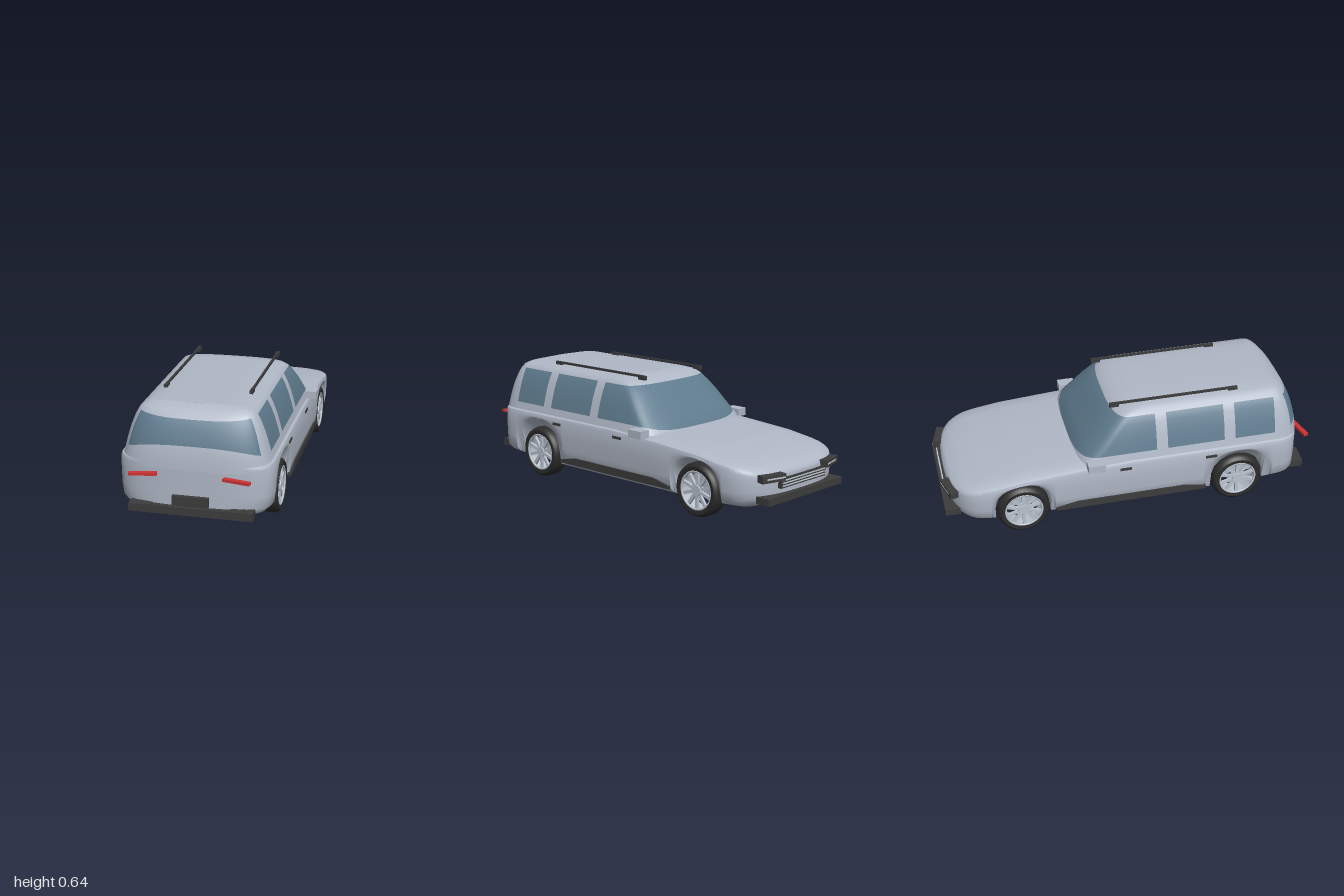
import * as THREE from 'three';
import { toCreasedNormals } from 'three/addons/utils/BufferGeometryUtils.js';

const mat = (name, color, side = THREE.FrontSide) => {
  const m = new THREE.MeshStandardMaterial({ color, side });
  m.name = name;
  return m;
};

// Linear lookup in a table of [key, value, value...] rows
function lookup(table, k) {
  let i = 1;
  while (i < table.length - 1 && table[i][0] < k) i++;
  const a = table[i - 1], b = table[i];
  const f = THREE.MathUtils.clamp((k - a[0]) / (b[0] - a[0]), 0, 1);
  return a.map((v, n) => v + (b[n] - v) * f);
}

// Skin a grid of closed rings; isSecond(row, col) picks the second material
function skin(rings, isSecond = () => false) {
  const n = rings[0].length, lists = [[], []];
  for (let r = 0; r < rings.length - 1; r++) {
    for (let c = 0; c < n; c++) {
      const a = r * n + c, b = r * n + (c + 1) % n;
      lists[isSecond(r, c) ? 1 : 0].push(a, a + n, b, b, a + n, b + n);
    }
  }
  const g = new THREE.BufferGeometry();
  g.setAttribute('position', new THREE.Float32BufferAttribute(rings.flat(2), 3));
  g.setIndex([...lists[0], ...lists[1]]);
  g.addGroup(0, lists[0].length, 0);
  g.addGroup(lists[0].length, lists[1].length, 1);
  return toCreasedNormals(g, 0.7);
}

const FRONT = -0.965, REAR = 0.95, AXLE_Y = 0.14;
const ARCHES = [{ z: -0.59, r: 0.168 }, { z: 0.58, r: 0.192 }];
const N = 3, superCos = t => Math.pow(Math.max(0, Math.cos(t)), 2 / N), superSin = t => Math.pow(Math.max(0, Math.sin(t)), 2 / N);

// Lower body: cross-sections along z, with scooped wheel arches
function lowerBodyGeometry() {
  const topLine = [[-0.965, 0.25], [-0.95, 0.272], [-0.9, 0.295], [-0.8, 0.318], [-0.6, 0.347], [-0.3, 0.368], [0, 0.38], [0.95, 0.38]];
  const floorLine = [[-0.965, 0.12], [-0.85, 0.09], [-0.45, 0.08], [0.45, 0.08], [0.95, 0.105]];
  const zs = [-0.3, -0.15, 0, 0.2, 0.35];
  for (let i = 0; i <= 12; i++) {
    const s = superSin(i / 12 * Math.PI / 2);
    zs.push(-0.7 + (FRONT + 0.7) * s, 0.78 + (REAR - 0.78) * s);
  }
  for (const a of ARCHES) {
    for (const rad of [a.r, 0.146]) zs.push(a.z - rad - 0.002, a.z + rad + 0.002);
    for (let i = 0; i <= 18; i++) zs.push(a.z - a.r * Math.cos(i / 18 * Math.PI));
    for (const s of [-1, 1]) zs.push(a.z + s * 0.1455);
  }
  zs.sort((a, b) => a - b);
  const rings = zs.map(z => {
    const f = z < -0.7 ? (z + 0.7) / (FRONT + 0.7) : z > 0.78 ? (z - 0.78) / (REAR - 0.78) : 0;
    const w = 0.386 * Math.pow(Math.max(0, 1 - f ** N), 1 / N);
    const T = lookup(topLine, z)[1], F = lookup(floorLine, z)[1];
    let lip = F + 0.04, scoop = [0.9, F + 0.012], well = [0.8, F];
    for (const a of ARCHES) {
      const d = Math.abs(z - a.z);
      if (d <= a.r + 1e-6) lip = AXLE_Y + Math.sqrt(Math.max(0, a.r * a.r - d * d));
      if (d < 0.146) {
        const y = AXLE_Y + Math.sqrt(0.146 ** 2 - d * d);
        scoop = [0.88, y];
        well = [0.66, y];
      }
    }
    const edge = T - 0.04, side = k => edge + (Math.min(lip, edge) - edge) * k;
    const half = [[0.4, T - 0.002], [0.75, T - 0.006], [0.93, T - 0.013], [0.985, T - 0.024], [1, edge],
      [1, side(0.35)], [0.995, side(0.7)], [0.975, side(1)], scoop, well, [Math.min(well[0], 0.75), F]];
    const pt = s => p => [s * p[0] * w, p[1], z];
    return [[0, T, z], ...half.map(pt(1)), [0, F, z], ...half.slice().reverse().map(pt(-1))];
  });
  return skin(rings);
}

// Cabin: stacked rounded outlines; window panes are cells of the same skin
function cabinGeometry() {
  // height, half width, front z, rear z
  const profile = [[0.33, 0.378, -0.3, 0.953], [0.372, 0.366, -0.29, 0.952], [0.4, 0.359, -0.262, 0.949],
    [0.45, 0.346, -0.215, 0.938], [0.5, 0.331, -0.172, 0.922], [0.55, 0.311, -0.125, 0.9],
    [0.585, 0.293, -0.088, 0.877], [0.605, 0.275, -0.055, 0.855], [0.617, 0.24, -0.01, 0.825],
    [0.623, 0.18, 0.03, 0.8], [0.6245, 0.09, 0.03, 0.8], [0.625, 0, 0.03, 0.8]];
  const rearShift = [0, 0.02, 0.05, 0.03, 0.012, -0.003, -0.017, -0.01];
  const frontShift = [0, -0.012, -0.028, -0.015];
  const cols = [], Q = 10;
  for (let j = Q; j >= 0; j--) cols.push({ front: j / Q * Math.PI / 2, glass: true });
  for (const [z, glass] of [[0.13, false], [0.19, true], [0.5, false], [0.56, true]]) cols.push({ z, glass });
  for (let j = 0; j <= Q; j++) cols.push({ rear: j / Q * Math.PI / 2, glass: j >= 3 });
  const last = cols.length - 1;
  const rings = profile.map((row, r) => {
    const half = cols.map(c => {
      const t = c.front ?? c.rear ?? 0, k = superCos(t);
      const shift = c.front !== undefined ? (frontShift[r] ?? 0) * (1 - k ** 4)
        : c.rear !== undefined ? (rearShift[r] ?? 0) * (1 - k ** 3) : 0;
      const [y, w, zf, zr] = shift ? lookup(profile, row[0] + shift) : row;
      const z = c.front !== undefined ? zf + 0.1 - 0.1 * superSin(t)
        : c.rear !== undefined ? 0.78 + (zr - 0.78) * superSin(t) : c.z;
      return [w * k, y, z];
    });
    return [...half, ...half.slice(1, -1).reverse().map(([x, y, z]) => [-x, y, z])];
  });
  return skin(rings, (r, c) => r >= 2 && r <= 5 && cols[c < last ? c : 2 * last - 1 - c].glass);
}

export function createModel() {
  const paint = mat('body paint', 0xb0b8c6);
  const glass = mat('window glass', 0x5f7b8e);
  const trim = mat('dark trim', 0x3c3c3c);
  const rubber = mat('tyre rubber', 0x2b2b2b);
  const alloy = mat('wheel alloy', 0xb9c2ce, THREE.DoubleSide);
  const red = mat('red lamp', 0xcc3333);
  const car = new THREE.Group();
  car.name = 'estateCar';

  const add = (name, geometry, material, parent = car) => {
    const m = new THREE.Mesh(geometry, material);
    m.name = name;
    parent.add(m);
    return m;
  };
  const box = (name, w, h, d, x, y, z, material, turn = 0) => {
    const m = add(name, new THREE.BoxGeometry(w, h, d), material);
    m.position.set(x, y, z);
    m.rotation.y = turn;
    return m;
  };

  add('lowerBody', lowerBodyGeometry(), [paint, glass]);
  add('cabin', cabinGeometry(), [paint, glass]);

  // Wheels
  const tyreProfile = [[0.102, -0.045], [0.122, -0.0475], [0.134, -0.038], [0.14, -0.022], [0.14, 0.022],
    [0.134, 0.038], [0.122, 0.0475], [0.102, 0.045], [0.102, -0.045]].map(p => new THREE.Vector2(...p));
  const tyre = toCreasedNormals(new THREE.LatheGeometry(tyreProfile, 48), 0.6);
  const barrel = new THREE.CylinderGeometry(0.101, 0.101, 0.088, 40, 1, true);
  const rimLip = new THREE.TorusGeometry(0.098, 0.006, 8, 40).rotateX(Math.PI / 2);
  const hub = new THREE.CylinderGeometry(0.028, 0.034, 0.024, 24);
  const spoke = new THREE.BoxGeometry(0.074, 0.014, 0.017).translate(0.062, 0, 0);
  for (const s of [-1, 1]) {
    for (const a of ARCHES) {
      const wheel = new THREE.Group();
      wheel.name = 'wheel';
      wheel.position.set(s * 0.332, AXLE_Y, a.z);
      wheel.rotation.z = -s * Math.PI / 2;
      car.add(wheel);
      add('tyre', tyre, rubber, wheel);
      add('rimBarrel', barrel, alloy, wheel);
      add('rimLip', rimLip, alloy, wheel).position.y = 0.04;
      add('hub', hub, alloy, wheel).position.y = 0.03;
      for (let i = 0; i < 10; i++) {
        const m = add('spoke', spoke, alloy, wheel);
        m.position.y = 0.03;
        m.rotation.y = i * Math.PI / 5;
      }
    }
  }

  // Side sill trim with tapered ends
  const sill = new THREE.Shape([[-0.42, 0.115], [0.4, 0.115], [0.4, 0.13], [0.28, 0.155], [-0.3, 0.155], [-0.42, 0.13]]
    .map(p => new THREE.Vector2(-p[0], p[1])));
  const sillGeometry = new THREE.ExtrudeGeometry(sill, { depth: 0.02, bevelEnabled: false })
    .rotateY(Math.PI / 2).translate(-0.01, 0, 0);

  for (const s of [-1, 1]) {
    add('sillTrim', sillGeometry, trim).position.x = s * 0.379;
    // Roof rail and its feet
    box('roofRail', 0.01, 0.012, 0.69, s * 0.219, 0.631, 0.255, trim);
    for (const z of [-0.07, 0.575]) box('railFoot', 0.017, 0.022, 0.05, s * 0.219, 0.624, z, trim);
    // Mirrors and door handles
    box('mirror', 0.062, 0.042, 0.09, s * 0.389, 0.372, -0.205, paint);
    for (const z of [-0.045, 0.422]) box('doorHandle', 0.012, 0.014, 0.06, s * 0.385, 0.324, z, trim);
    // Lamps
    box('tailLamp', 0.138, 0.014, 0.026, s * 0.232, 0.306, 0.973, red, -s * 0.2);
    box('headlamp', 0.14, 0.036, 0.045, s * 0.232, 0.245, -0.956, trim, -s * 0.26);
    box('headlampStrip', 0.11, 0.008, 0.008, s * 0.226, 0.245, -0.978, alloy, -s * 0.26);
    box('bumperPad', 0.075, 0.018, 0.05, s * 0.232, 0.139, 0.954, trim);
  }

  // Rear bumper and plate
  box('rearBumper', 0.618, 0.04, 0.07, 0, 0.125, 0.941, trim);
  box('rearPlate', 0.18, 0.05, 0.04, 0, 0.176, 0.95, trim);

  // Grille and front bumper
  box('grille', 0.36, 0.05, 0.04, 0, 0.208, -0.955, trim);
  for (let i = 0; i < 3; i++) box('grilleBar', 0.34, 0.005, 0.008, 0, 0.194 + i * 0.014, -0.977, alloy);
  box('frontBumper', 0.6, 0.036, 0.08, 0, 0.138, -0.954, trim);
  return car;
}
